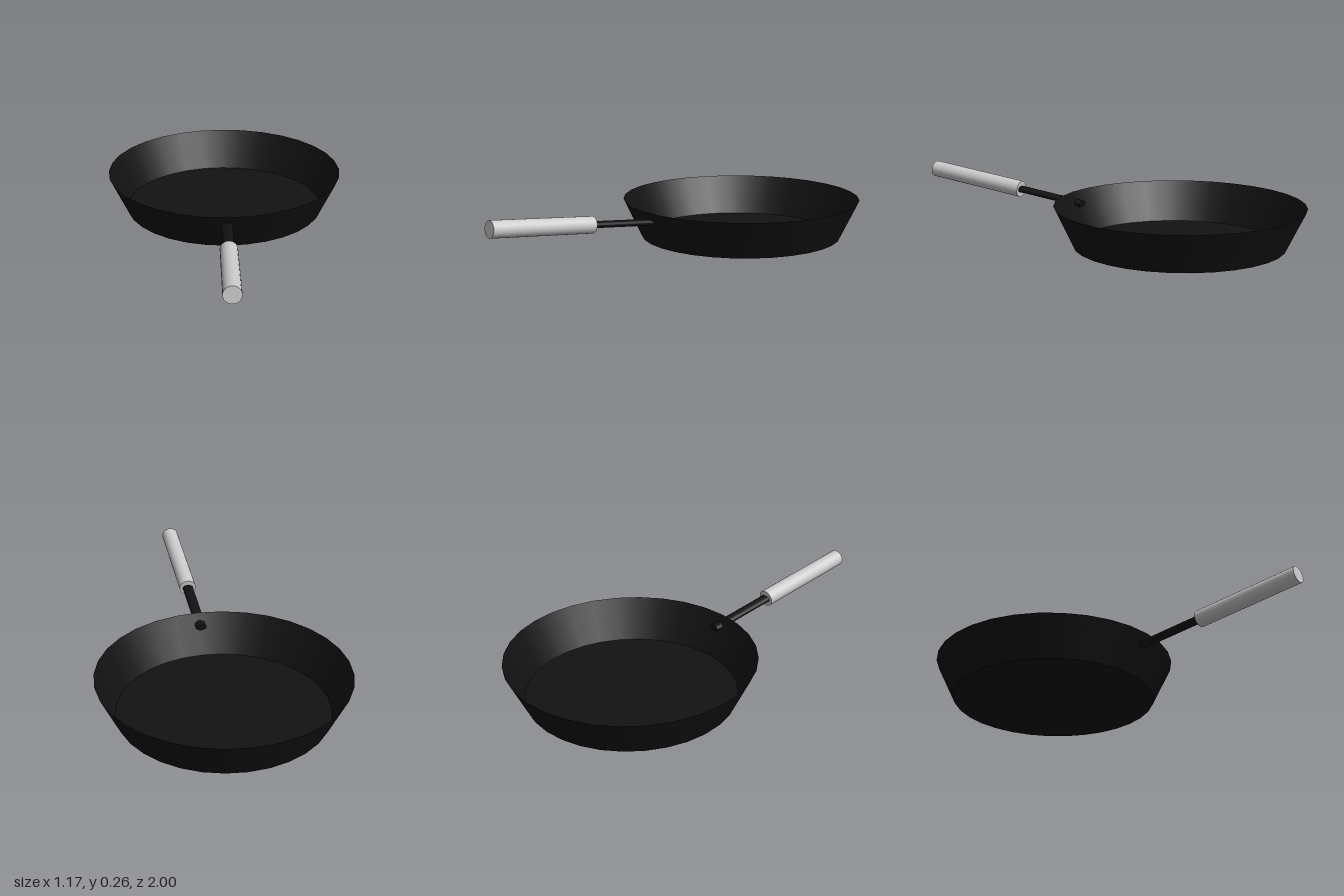
import * as THREE from 'three';

const iron = new THREE.MeshStandardMaterial({ color: 0x111211, side: THREE.DoubleSide });
const gripMaterial = new THREE.MeshStandardMaterial({ color: 0xcccccc });

// Cylinder whose axis runs from a to b, optionally flattened in height
function bar(name, a, b, radius, flatten, material) {
  const geometry = new THREE.CylinderGeometry(radius, radius, a.distanceTo(b), 24);
  geometry.rotateX(Math.PI / 2);
  geometry.scale(1, flatten, 1);
  const mesh = new THREE.Mesh(geometry, material);
  mesh.name = name;
  mesh.position.copy(a).add(b).multiplyScalar(0.5);
  mesh.rotation.x = -Math.atan2(b.y - a.y, b.z - a.z);
  return mesh;
}

export function createModel() {
  const group = new THREE.Group();
  group.name = 'fryingPan';

  // Thin dish: flat base and a straight flared wall
  const dish = new THREE.Group();
  dish.name = 'dish';
  dish.position.z = -0.417;
  const wall = new THREE.Mesh(new THREE.CylinderGeometry(0.583, 0.493, 0.188, 32, 1, true), iron);
  wall.name = 'wall';
  wall.position.y = 0.094;
  const base = new THREE.Mesh(new THREE.CircleGeometry(0.493, 32).rotateX(Math.PI / 2), iron);
  base.name = 'base';
  dish.add(wall, base);
  group.add(dish);

  // Flattened rod that pierces the wall and rises into the grip
  const at = (z) => new THREE.Vector3(0, 0.17 + (z - 0.467) * 0.1, z);
  group.add(bar('handleRod', at(0.11), at(0.52), 0.026, 0.6, iron));
  group.add(bar('grip', at(0.467), at(0.996), 0.041, 0.97, gripMaterial));
  return group;
}
